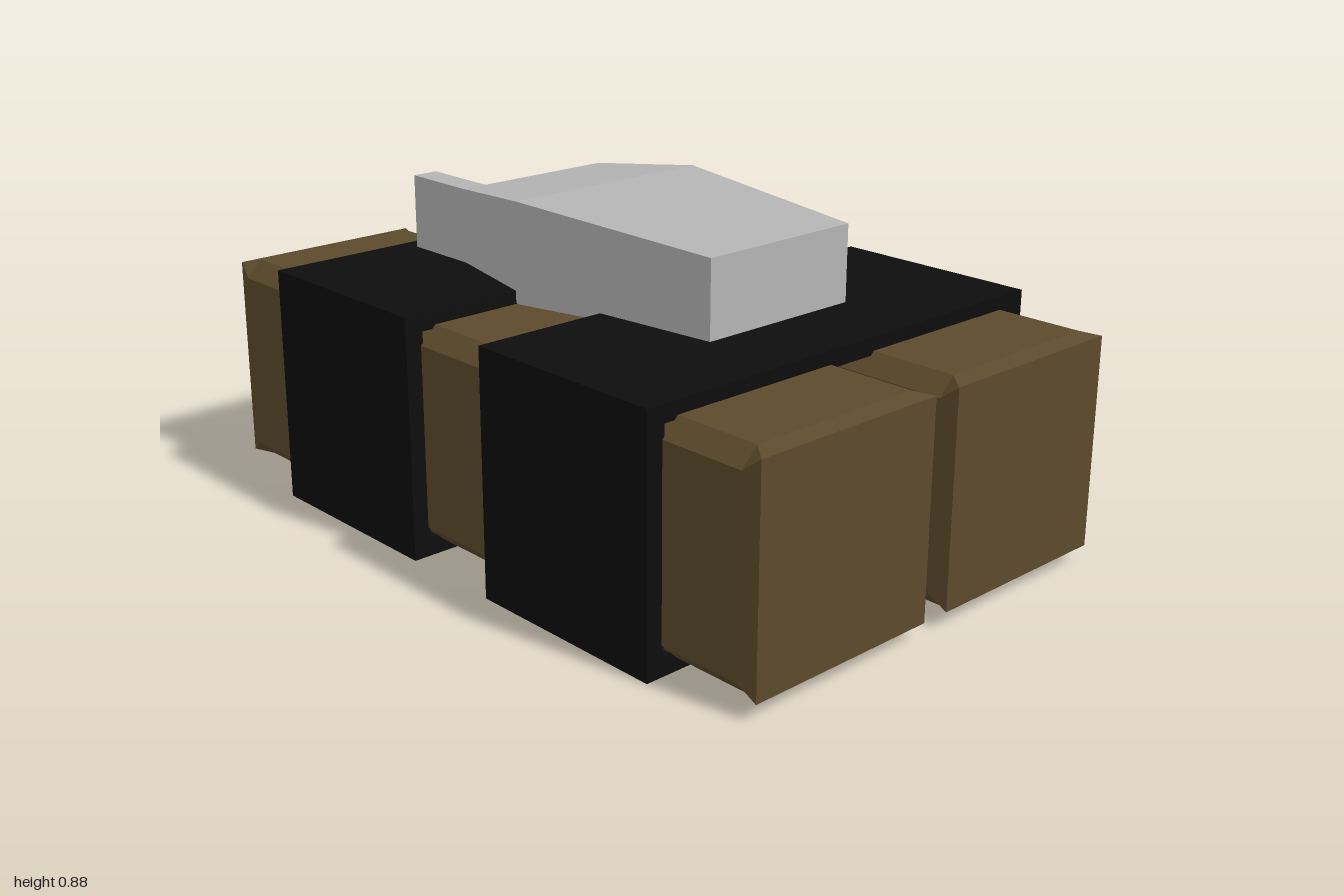
import * as THREE from 'three';

const brown = new THREE.MeshStandardMaterial({ name: 'brown', color: 0x5c4a2c });
const black = new THREE.MeshStandardMaterial({ name: 'black', color: 0x0d0d0d });
const grey = new THREE.MeshStandardMaterial({ name: 'grey', color: 0xb4b4b4 });

// Flat-shaded skin over cross-sections running from back (-z) to front (+z),
// each one listed counter-clockwise as seen from the front.
function loft(sections) {
  const positions = [];
  const triangle = (a, b, c) => {
    const area = new THREE.Triangle(a, b, c).getArea();
    if (area > 1e-7) for (const p of [a, b, c]) positions.push(p.x, p.y, p.z);
  };
  const rings = sections.map(({ z, points }) => points.map(([x, y]) => new THREE.Vector3(x, y, z)));
  const n = rings[0].length;
  for (let s = 0; s < rings.length - 1; s++) {
    for (let i = 0; i < n; i++) {
      const j = (i + 1) % n;
      triangle(rings[s][i], rings[s][j], rings[s + 1][j]);
      triangle(rings[s][i], rings[s + 1][j], rings[s + 1][i]);
    }
  }
  const back = rings[0], front = rings[rings.length - 1];
  for (let i = 1; i < n - 1; i++) {
    triangle(front[0], front[i], front[i + 1]);
    triangle(back[0], back[i + 1], back[i]);
  }
  const geometry = new THREE.BufferGeometry();
  geometry.setAttribute('position', new THREE.Float32BufferAttribute(positions, 3));
  geometry.computeVertexNormals();
  return geometry;
}

// Eight points of a square with half-size h and corners cut by c
function cutSquare(h, c) {
  const k = h - c;
  return [[h, -k], [h, k], [k, h], [-k, h], [-h, k], [-h, -k], [-k, -h], [k, -h]];
}

function rectangle(halfWidth, bottom, top) {
  return [[-halfWidth, bottom], [halfWidth, bottom], [halfWidth, top], [-halfWidth, top]];
}

function bandGeometry() {
  const shape = new THREE.Shape([[-0.65, 0], [0.65, 0], [0.65, 0.645], [-0.65, 0.645]]
    .map(([x, y]) => new THREE.Vector2(x, y)));
  shape.holes.push(new THREE.Path([[-0.6, 0.05], [-0.6, 0.6], [0.6, 0.6], [0.6, 0.05]]
    .map(([x, y]) => new THREE.Vector2(x, y))));
  return new THREE.ExtrudeGeometry(shape, { depth: 0.575, bevelEnabled: false });
}

export function createModel() {
  const model = new THREE.Group();
  model.name = 'strappedBlocks';
  const add = (name, geometry, material, x = 0, y = 0, z = 0) => {
    const mesh = new THREE.Mesh(geometry, material);
    mesh.name = name;
    mesh.position.set(x, y, z);
    model.add(mesh);
  };

  // Two long blocks: chamfered along the middle, sharp square ends
  const end = cutSquare(0.278, 0), middle = cutSquare(0.288, 0.045);
  const block = loft([
    { z: -1, points: end },
    { z: -0.955, points: middle },
    { z: 0.955, points: middle },
    { z: 1, points: end },
  ]);
  add('leftBlock', block, brown, 0.318, 0.322, 0);
  add('rightBlock', block, brown, -0.318, 0.322, 0);

  // Hollow bands wrapped around both blocks
  const band = bandGeometry();
  add('frontBand', band, black, 0, 0, 0.145);
  add('backBand', band, black, 0, 0, -0.72);

  // Device on top, widest and thickest behind its middle
  add('deviceBody', loft([
    { z: -0.445, points: rectangle(0.237, 0.645, 0.847) },
    { z: -0.135, points: rectangle(0.308, 0.612, 0.88) },
    { z: 0.488, points: rectangle(0.237, 0.645, 0.847) },
  ]), grey);

  // Short antenna at the back
  add('deviceAntenna', new THREE.BoxGeometry(0.073, 0.202, 0.24), grey, -0.2005, 0.746, -0.547);

  return model;
}
